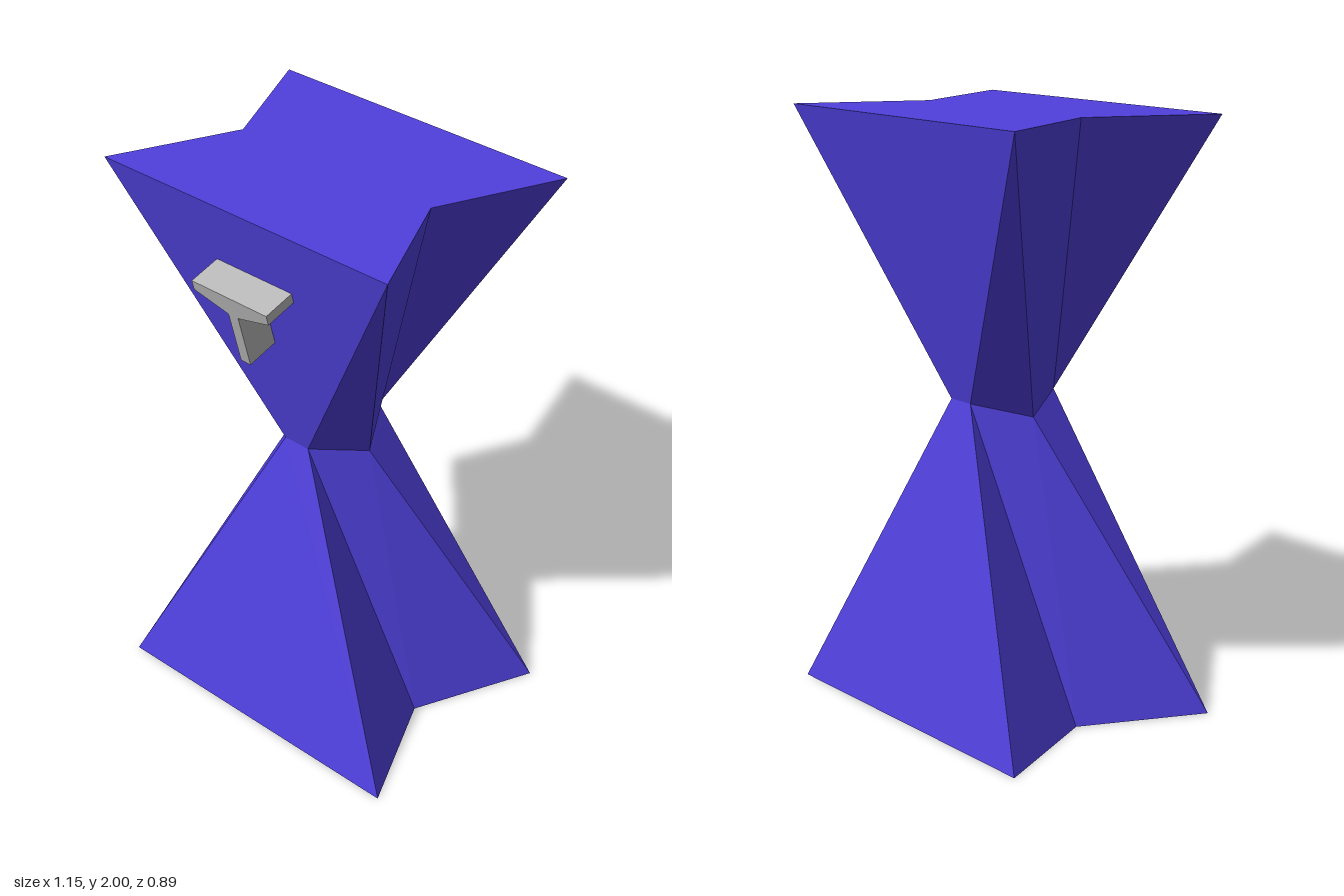
import * as THREE from 'three';

// Six-point ring: four corners plus one mid point on each side
function ring(y, cornerX, front, back, sideX, sideY) {
  return [
    [cornerX, y, front], [sideX, sideY, -0.025], [cornerX, y, back],
    [-cornerX, y, back], [-sideX, sideY, -0.025], [-cornerX, y, front],
  ];
}

// Faceted hourglass lofted through the rings, closed at both ends
function hourglassGeometry() {
  const rings = [
    ring(0, 0.575, 0.395, -0.445, 0.385, 0),
    ring(1.06, 0.05, 0.155, -0.2, 0.16, 1.01),
    ring(2, 0.575, 0.395, -0.445, 0.385, 2),
  ];
  const index = [];
  for (let r = 0; r < 2; r++) {
    for (let i = 0; i < 6; i++) {
      const a = r * 6 + i, b = r * 6 + (i + 1) % 6;
      index.push(a, b, a + 6, b, b + 6, a + 6);
    }
  }
  // Caps, split across the notches
  for (const [a, b, c] of [[0, 1, 4], [0, 4, 5], [1, 2, 3], [1, 3, 4]]) {
    index.push(a, c, b, a + 12, b + 12, c + 12);
  }
  const indexed = new THREE.BufferGeometry();
  indexed.setAttribute('position', new THREE.Float32BufferAttribute(rings.flat(2), 3));
  indexed.setIndex(index);
  const geometry = indexed.toNonIndexed();
  geometry.computeVertexNormals();
  return geometry;
}

// T-shaped bracket outline, measured down from its top edge
function bracketGeometry() {
  const half = [[0.155, 0], [0.155, -0.036], [0.02, -0.074], [0.02, -0.27]];
  const outline = [...half, ...half.map(([x, y]) => [-x, y]).reverse()];
  const shape = new THREE.Shape(outline.map(([x, y]) => new THREE.Vector2(x, y)));
  return new THREE.ExtrudeGeometry(shape, { depth: 0.116, bevelEnabled: false });
}

export function createModel() {
  const model = new THREE.Group();
  const blue = new THREE.MeshStandardMaterial({ color: 0x5040dd });
  blue.name = 'violet blue';
  const grey = new THREE.MeshStandardMaterial({ color: 0xb8b8b8 });
  grey.name = 'light grey';

  const body = new THREE.Mesh(hourglassGeometry(), blue);
  body.name = 'hourglassBody';

  // Bracket stands square to the sloping upper front face
  const bracket = new THREE.Mesh(bracketGeometry(), grey);
  bracket.name = 'frontBracket';
  bracket.rotation.x = Math.atan2(0.24, 0.94);
  bracket.position.set(0, 1.775, 0.336);

  model.add(body, bracket);
  return model;
}
